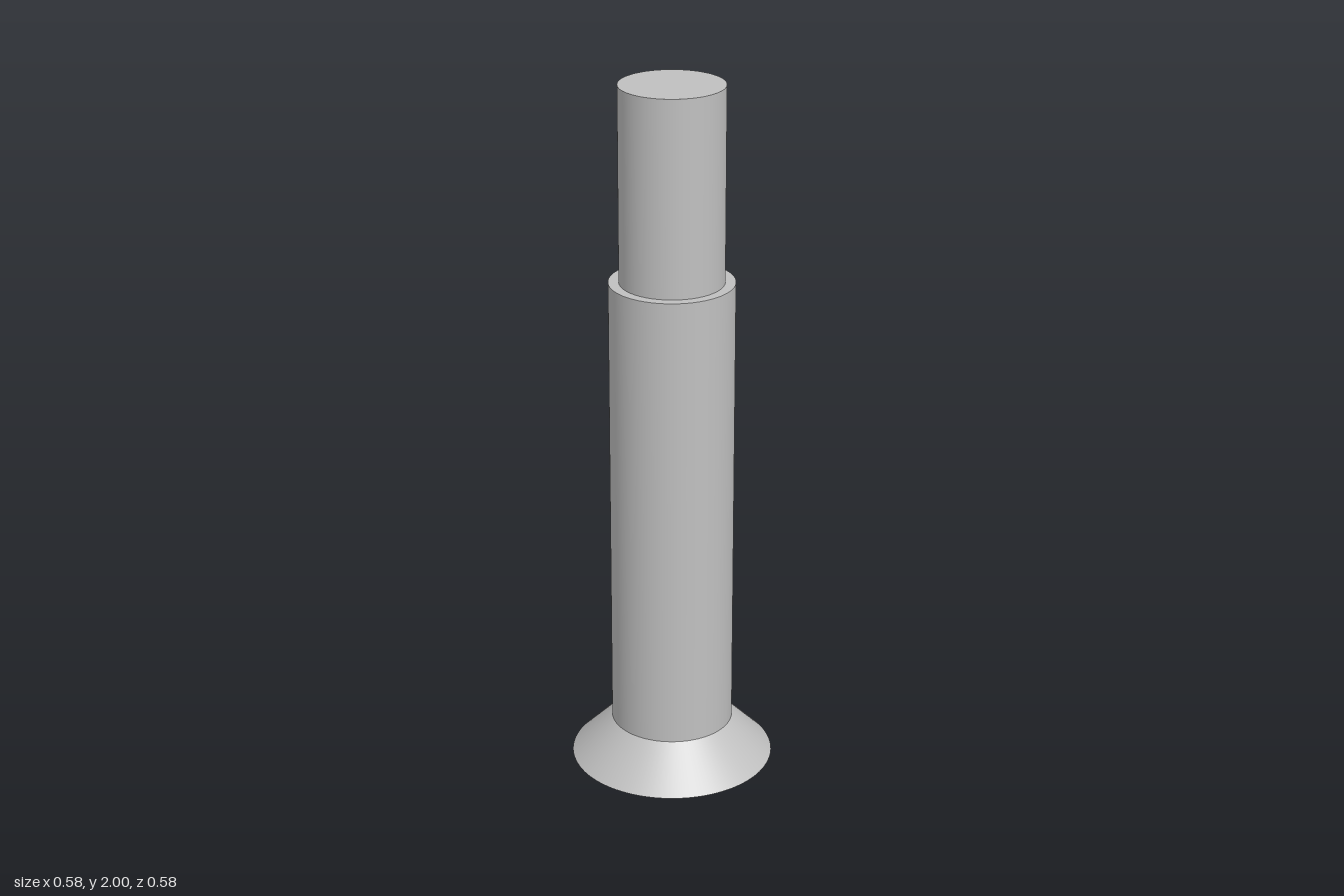
import * as THREE from 'three';

const SEG = 96;
const HEAD_R = 0.29, BODY_R = 0.174, TIP_R = 0.145;
const HEAD_Y = 0.117, BODY_Y = 1.45, TOP_Y = 2;
const HEX_R = 0.098, HEX_DEPTH = 0.13;

export function createModel() {
  const steel = new THREE.MeshStandardMaterial({ color: 0xc0c0c0 });
  steel.name = 'steel';
  const group = new THREE.Group();
  group.name = 'countersunkShoulderBolt';

  const add = (name, geometry) => {
    const mesh = new THREE.Mesh(geometry, steel);
    mesh.name = name;
    group.add(mesh);
  };
  // Open round side wall between two heights
  const wall = (r0, y0, r1, y1) =>
    new THREE.CylinderGeometry(r1, r0, y1 - y0, SEG, 1, true).translate(0, (y0 + y1) / 2, 0);

  // Turned outer surfaces
  add('headCone', wall(HEAD_R, 0, BODY_R, HEAD_Y));
  add('shank', wall(BODY_R, HEAD_Y, BODY_R, BODY_Y));
  add('tip', wall(TIP_R, BODY_Y, TIP_R, TOP_Y));
  add('shoulder', new THREE.RingGeometry(TIP_R, BODY_R, SEG).rotateX(-Math.PI / 2).translate(0, BODY_Y, 0));
  add('tipEnd', new THREE.CircleGeometry(TIP_R, SEG).rotateX(-Math.PI / 2).translate(0, TOP_Y, 0));

  // Flat head face with a hexagonal opening
  const face = new THREE.Shape().absarc(0, 0, HEAD_R, 0, Math.PI * 2, false);
  const corners = Array.from({ length: 6 }, (_, i) => {
    const a = -i * Math.PI / 3;
    return new THREE.Vector2(HEX_R * Math.cos(a), HEX_R * Math.sin(a));
  });
  face.holes.push(new THREE.Path(corners));
  add('headFace', new THREE.ShapeGeometry(face, SEG / 2).rotateX(Math.PI / 2));

  // Hex socket: walls mirrored so that they face inwards, and a floor
  const socket = new THREE.CylinderGeometry(HEX_R, HEX_R, HEX_DEPTH, 6, 1, true)
    .rotateY(Math.PI / 2).translate(0, HEX_DEPTH / 2, 0).toNonIndexed().scale(-1, 1, 1);
  socket.computeVertexNormals();
  add('socketWalls', socket);
  add('socketFloor', new THREE.CircleGeometry(HEX_R, 6).rotateX(Math.PI / 2).translate(0, HEX_DEPTH, 0));

  return group;
}
